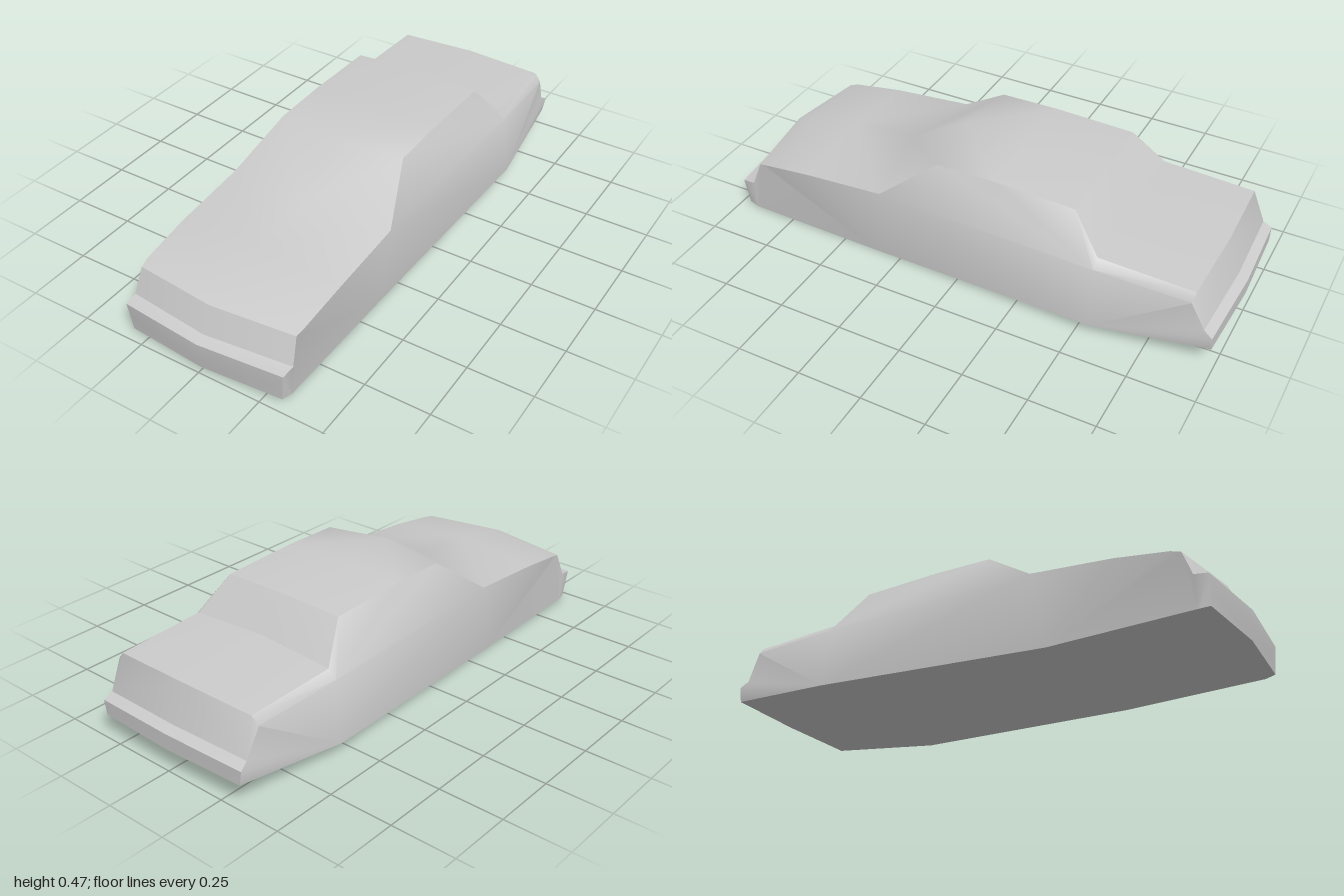
import * as THREE from 'three';
import { toCreasedNormals } from 'three/addons/utils/BufferGeometryUtils.js';

// Each rib of the shell: [centre y, centre z, edge x, edge y, edge z],
// running from the nose over the roof to the tail and back along the underside.
const RIBS = {
  noseBottom: [0.013, 0.985, 0.315, 0.013, 0.96],
  bumperMid: [0.07, 0.995, 0.306, 0.07, 0.965],
  bumperTop: [0.125, 0.997, 0.328, 0.125, 0.967],
  grilleBase: [0.14, 0.958, 0.332, 0.131, 0.915],
  hoodLip: [0.239, 0.917, 0.322, 0.229, 0.877],
  hoodFront: [0.261, 0.86, 0.328, 0.239, 0.84],
  hoodMid: [0.305, 0.64, 0.334, 0.266, 0.64],
  screenBase: [0.323, 0.37, 0.337, 0.292, 0.32],
  roofFront: [0.463, 0.14, 0.26, 0.446, 0.11],
  roofMid: [0.467, -0.12, 0.26, 0.45, -0.12],
  roofRear: [0.452, -0.44, 0.26, 0.441, -0.433],
  trunkFront: [0.325, -0.54, 0.315, 0.311, -0.547],
  trunkRear: [0.306, -0.915, 0.31, 0.298, -0.905],
  tailBase: [0.165, -0.965, 0.328, 0.16, -0.952],
  rearBumper: [0.145, -1, 0.335, 0.138, -0.985],
  tailBottom: [0.085, -1, 0.325, 0.082, -0.985],
  sillRear: [0.045, -0.55, 0.373, 0.042, -0.55],
  sillFront: [0.012, 0.37, 0.328, 0, 0.37],
  sillNose: [0.013, 0.92, 0.325, 0.008, 0.92],
};
// Shoulder points outside the trunk lid
const SHOULDER = {
  beltRear: [0.346, 0.278, -0.545],
  beltTail: [0.336, 0.268, -0.9],
};

// Side panels on the +x side, as fans around the first corner
const PANELS = [
  'bumperTop bumperMid noseBottom sillNose grilleBase', // bumper end
  'sillNose sillFront hoodLip grilleBase', // front wing
  'sillFront screenBase hoodMid hoodFront hoodLip',
  'sillFront sillRear screenBase', // door
  'sillRear tailBottom rearBumper tailBase beltTail beltRear screenBase', // rear wing
  'beltRear roofRear roofMid roofFront screenBase', // cabin side
  'beltRear trunkFront roofRear', // rear pillar
  'beltRear beltTail trunkRear trunkFront', // trunk shoulder
  'beltTail tailBase trunkRear', // tail corner
];

export function createModel() {
  const positions = [];

  // Adds a fan of triangles and its mirror image
  const addFan = (pts) => {
    for (let i = 1; i < pts.length - 1; i++) {
      const [a, b, c] = [pts[0], pts[i], pts[i + 1]];
      positions.push(...a, ...b, ...c);
      for (const [x, y, z] of [a, c, b]) positions.push(-x, y, z);
    }
  };

  // Shell strips between neighbouring ribs, closed around the underside
  const ribs = Object.values(RIBS);
  const centre = (r) => [0, r[0], r[1]];
  const edge = (r) => r.slice(2);
  ribs.forEach((r, i) => {
    const next = ribs[(i + 1) % ribs.length];
    addFan([centre(r), edge(r), edge(next), centre(next)]);
  });

  // Sides
  const point = (name) => SHOULDER[name] || edge(RIBS[name]);
  for (const panel of PANELS) addFan(panel.split(' ').map(point));

  const geometry = new THREE.BufferGeometry();
  geometry.setAttribute('position', new THREE.Float32BufferAttribute(positions, 3));
  const body = new THREE.Mesh(
    toCreasedNormals(geometry, 0.6),
    new THREE.MeshStandardMaterial({ color: 0xcccccc })
  );
  body.name = 'carBody';

  const group = new THREE.Group();
  group.name = 'car';
  group.add(body);
  return group;
}
